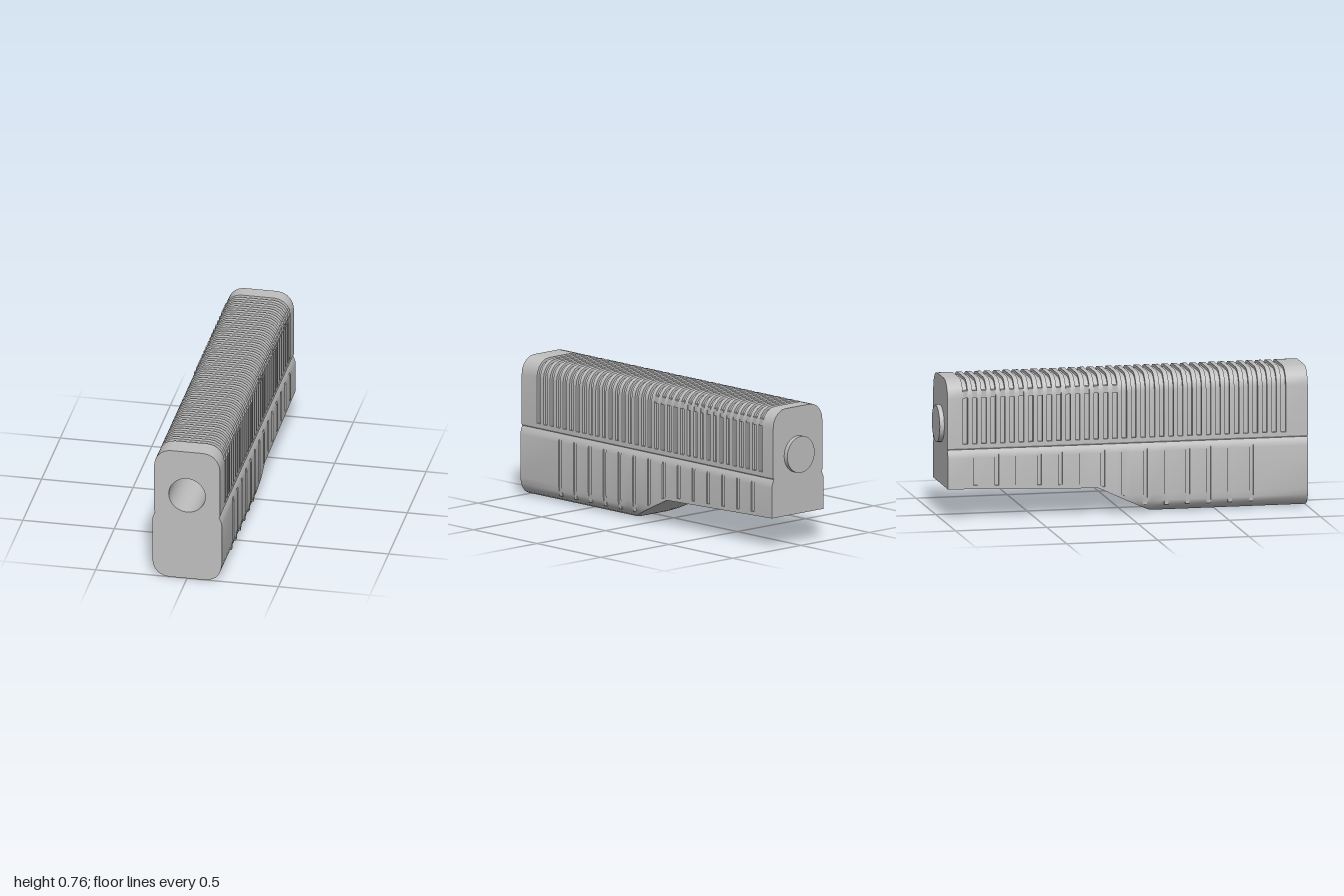
import * as THREE from 'three';
import { mergeGeometries, toCreasedNormals } from 'three/addons/utils/BufferGeometryUtils.js';

const FRONT = 1, BACK = -0.975, BORE_Y = 0.497, BORE_R = 0.1;

// Mirror a right-hand half outline (top to bottom) into a closed ring
const mirror = half => [...half, ...half.map(([x, y]) => [-x, y]).reverse()];

// Skin a list of { z, ring } sections, front to back, and close both ends
function loft(rows, frontHole) {
  const n = rows[0].ring.length, pos = [];
  for (let i = 0; i < rows.length - 1; i++) {
    const r = rows[i], s = rows[i + 1];
    for (let j = 0; j < n; j++) {
      const k = (j + 1) % n;
      const a = [...r.ring[j], r.z], b = [...r.ring[k], r.z];
      const c = [...s.ring[j], s.z], d = [...s.ring[k], s.z];
      pos.push(...a, ...b, ...c, ...b, ...d, ...c);
    }
  }
  const skin = new THREE.BufferGeometry();
  skin.setAttribute('position', new THREE.Float32BufferAttribute(pos, 3));
  const cap = (row, hole, back) => {
    const shape = new THREE.Shape(row.ring.map(p => new THREE.Vector2(...p)));
    if (hole) shape.holes.push(hole);
    let g = new THREE.ShapeGeometry(shape, 16);
    if (back) g.rotateY(Math.PI);
    g.translate(0, 0, row.z);
    g = g.toNonIndexed();
    g.deleteAttribute('uv');
    g.deleteAttribute('normal');
    return g;
  };
  return toCreasedNormals(mergeGeometries([skin, cap(rows[0], frontHole, false), cap(rows.at(-1), null, true)]), 0.5);
}

// Upper section: rounded top, optionally sunk by d above the waist
function upperRing(d) {
  const half = [];
  for (let i = 5; i >= 0; i--) {
    const a = i / 5 * Math.PI / 2;
    half.push([0.09 + (0.09 - d) * Math.cos(a), 0.66 + (0.097 - d) * Math.sin(a)]);
  }
  half.push([0.18 - d, 0.41], [0.18, 0.41], [0.18, 0.388], [0.175, 0.38]);
  return mirror(half);
}

// Half width of the lower section at a height
const SIDE = [[0, 0.1], [0.004, 0.125], [0.018, 0.154], [0.04, 0.173], [0.065, 0.184], [0.1, 0.19],
  [0.335, 0.19], [0.35, 0.187], [0.365, 0.182], [0.38, 0.175]];
function halfWidth(y) {
  for (let i = 1; i < SIDE.length; i++) {
    const [y0, x0] = SIDE[i - 1], [y1, x1] = SIDE[i];
    if (y <= y1) return x0 + (x1 - x0) * (y - y0) / (y1 - y0);
  }
  return 0.175;
}

// Height of the underside along the length
function floorAt(z) {
  if (z >= 0.155) return 0;
  if (z >= -0.15) return 0.145 * (0.155 - z) / 0.305;
  return 0.145 + 0.025 * (-0.15 - z) / 0.825;
}

// Lower section, with or without the shallow side slot
function lowerRing(z, slot) {
  const f = floorAt(z), b = Math.max(0.04, f + 0.02);
  const curve = [0.1, 0.065, 0.04, 0.018, 0.004, 0];
  const outer = y => [halfWidth(y), y];
  const inner = y => [slot ? 0.182 : halfWidth(y), y];
  return mirror([
    ...[0.38, 0.365, 0.35].map(outer),
    ...[0.35, 0.335, ...curve.map(y => Math.max(y, b)), b].map(inner),
    ...[b, ...curve.map(y => Math.min(b, Math.max(y, f)))].map(outer),
  ]);
}

export function createModel() {
  const model = new THREE.Group();
  const grey = new THREE.MeshStandardMaterial({ color: 0xbfbfbf });
  grey.name = 'plain grey';
  const add = (name, geometry) => {
    const mesh = new THREE.Mesh(geometry, grey);
    mesh.name = name;
    model.add(mesh);
    return mesh;
  };

  // Upper body with grooves wrapping over the top
  const full = upperRing(0), sunk = upperRing(0.015);
  const count = 35, width = 0.026, pitch = (1.77 - width) / (count - 1);
  const upperRows = [{ z: FRONT, ring: full }];
  const grooves = [];
  for (let i = 0; i < count; i++) {
    const z0 = 0.88 - i * pitch, z1 = z0 - width;
    grooves.push((z0 + z1) / 2);
    upperRows.push({ z: z0, ring: full }, { z: z0, ring: sunk }, { z: z1, ring: sunk }, { z: z1, ring: full });
  }
  upperRows.push({ z: BACK, ring: full });
  const hole = new THREE.Path().absarc(0, BORE_Y, BORE_R, 0, Math.PI * 2, true);
  add('ribbedUpperBody', loft(upperRows, hole));

  // Small bridges across the rear grooves
  for (const z of grooves.filter(g => g < -0.05)) {
    for (const side of [1, -1]) {
      add('grooveBridge', new THREE.BoxGeometry(0.02, 0.04, width)).position.set(side * 0.166, 0.68, z);
    }
  }

  // Lower body with a stepped underside and side slots
  const lowerRows = [];
  const row = (z, slot) => lowerRows.push({ z, ring: lowerRing(z, slot) });
  for (const z of [FRONT, 0.155, 0.14, 0.08, 0.05, 0.03, -0.05, -0.08, -0.15, BACK]) row(z, false);
  for (let i = 0; i < 14; i++) {
    const z0 = 0.7 - i * 0.1163, z1 = z0 - 0.022;
    row(z0, false); row(z0, true); row(z1, true); row(z1, false);
  }
  lowerRows.sort((a, b) => b.z - a.z);
  add('slottedLowerBody', loft(lowerRows));

  // Blind bore in the front and round boss on the back
  const lathe = pts => {
    const g = new THREE.LatheGeometry(pts.map(p => new THREE.Vector2(...p)), 32);
    g.rotateX(Math.PI / 2);
    return toCreasedNormals(g, 0.5);
  };
  add('bore', lathe([[BORE_R, FRONT], [BORE_R, -0.96], [0, -0.96]])).position.y = BORE_Y;
  add('rearBoss', lathe([[0, -1], [BORE_R, -1], [BORE_R, BACK]])).position.y = BORE_Y;

  return model;
}
